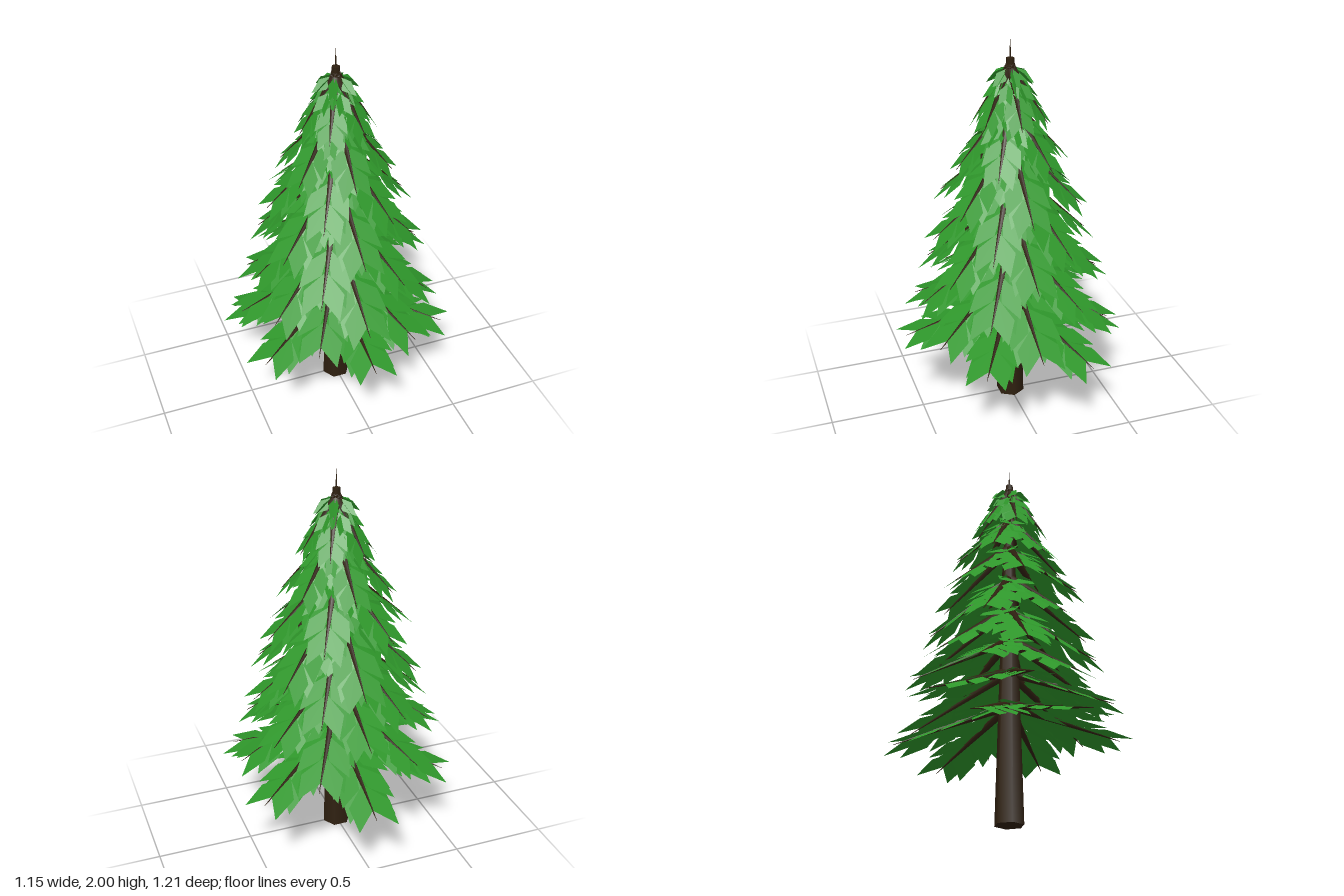
import * as THREE from 'three';
import { mergeGeometries } from 'three/addons/utils/BufferGeometryUtils.js';

const bark = new THREE.MeshStandardMaterial({ color: 0x2f2010 });
const green = new THREE.MeshStandardMaterial({ color: 0x2e962a, side: THREE.DoubleSide });

// Horizontal reach and drop of the branches in each whorl, from the bottom up
const REACH = [0.61, 0.565, 0.52, 0.48, 0.44, 0.39, 0.3, 0.2];
const DROP = [0.22, 0.28, 0.33, 0.37, 0.39, 0.36, 0.34, 0.31];
const PER_WHORL = 6;
const PAIRS = 7;

// One kite-shaped leaf starting on the branch (z runs along it, side is -1 or 1)
function leaf(start, side, angle, size, droop) {
  const point = (across, ahead) => {
    const x = Math.sin(angle) * ahead + Math.cos(angle) * across;
    const z = Math.cos(angle) * ahead - Math.sin(angle) * across;
    return [side * x * size, -droop * Math.abs(x) * size, start + z * size];
  };
  const base = point(0, 0);
  const inner = point(-0.09, 0.22);
  const outer = point(0.09, 0.22);
  const tip = point(0, 0.42);
  const faces = [[base, inner, tip], [base, tip, outer]];
  // Keep the upper face in front on both sides
  const corners = faces.flatMap(f => (side > 0 ? f : [f[0], f[2], f[1]]));
  const g = new THREE.BufferGeometry();
  g.setAttribute('position', new THREE.Float32BufferAttribute(corners.flat(), 3));
  g.computeVertexNormals();
  return g;
}

// Unit-length spray of paired leaves, spreading wider towards the trunk
function makeSpray() {
  const leaves = [];
  for (let i = 0; i < PAIRS; i++) {
    const t = i / (PAIRS - 1);
    const angle = THREE.MathUtils.degToRad(50 - 28 * t);
    const droop = i % 2 ? 0.35 : 0.1;
    for (const side of [-1, 1]) leaves.push(leaf(0.04 + 0.57 * t, side, angle, 0.9 + 0.1 * t, droop));
  }
  return mergeGeometries(leaves);
}

// Trunk with a thin leader at the top
function makeTrunk() {
  const trunk = new THREE.Group();
  trunk.name = 'trunk';
  const add = (name, top, bottom, y0, y1) => {
    const g = new THREE.CylinderGeometry(top, bottom, y1 - y0, 6);
    g.rotateY(Math.PI / 6).translate(0, (y0 + y1) / 2, 0);
    const mesh = new THREE.Mesh(g, bark);
    mesh.name = name;
    trunk.add(mesh);
  };
  add('trunkStem', 0.02, 0.075, 0, 1.91);
  add('leader', 0.001, 0.005, 1.9, 2.0);
  return trunk;
}

export function createModel() {
  const tree = new THREE.Group();
  tree.name = 'coniferTree';
  tree.add(makeTrunk());

  const spray = makeSpray();
  const wood = [];
  const foliage = [];
  REACH.forEach((reach, k) => {
    const y = 0.62 + 0.18 * k;
    for (let i = 0; i < PER_WHORL; i++) {
      // Every other whorl is turned half a step; each whorl leans a little to one side
      const angle = ((i + (k % 2) / 2) / PER_WHORL) * Math.PI * 2;
      const lean = 0.055 * (1 - k / 8) * Math.cos(angle - k * Math.PI / 2);
      const drop = DROP[k] + lean;
      const length = Math.hypot(reach, drop);

      const along = new THREE.Vector3(Math.sin(angle) * reach, -drop, -Math.cos(angle) * reach).normalize();
      const side = new THREE.Vector3(0, 1, 0).cross(along).normalize();
      const up = along.clone().cross(side);
      const frame = new THREE.Matrix4().makeBasis(side, up, along).setPosition(0, y, 0);

      // The limb starts just below its leaves and meets them at the tip
      const radius = 0.026;
      const limb = new THREE.CylinderGeometry(0.001, radius, length * 0.94, 6);
      limb.rotateX(Math.PI / 2 - 0.3 * radius / length).translate(0, -radius * 0.2, length * 0.47);
      wood.push(limb.applyMatrix4(frame));
      foliage.push(spray.clone().scale(length, length, length).applyMatrix4(frame));
    }
  });

  const branches = new THREE.Mesh(mergeGeometries(wood), bark);
  branches.name = 'branches';
  const needles = new THREE.Mesh(mergeGeometries(foliage), green);
  needles.name = 'foliage';
  tree.add(branches, needles);
  return tree;
}
